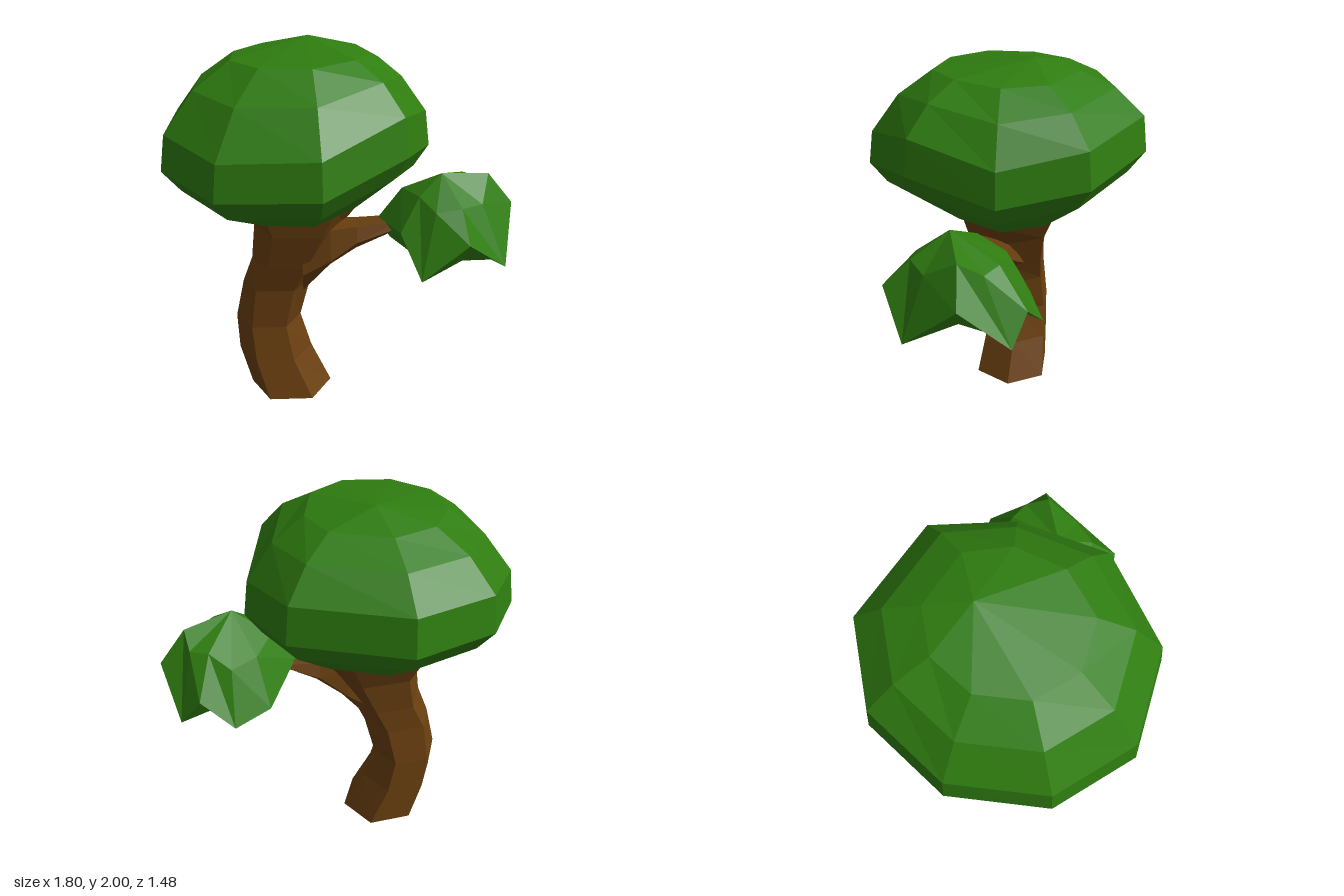
import * as THREE from 'three';

const leafMat = new THREE.MeshStandardMaterial({ color: 0x2f7d10, flatShading: true, roughness: 1, side: THREE.DoubleSide });
const barkMat = new THREE.MeshStandardMaterial({ color: 0x6b4010, flatShading: true, roughness: 1, side: THREE.DoubleSide });

// Skin a list of rings (top to bottom); a ring of one point closes an end.
function loft(name, rings, material) {
  const pos = [];
  const tri = (a, b, c) => pos.push(...a, ...b, ...c);
  for (let r = 0; r < rings.length - 1; r++) {
    const up = rings[r], low = rings[r + 1];
    const n = Math.max(up.length, low.length);
    for (let i = 0; i < n; i++) {
      const j = (i + 1) % n;
      if (up.length === 1) tri(up[0], low[j], low[i]);
      else if (low.length === 1) tri(up[i], up[j], low[0]);
      else {
        tri(up[i], up[j], low[i]);
        tri(up[j], low[j], low[i]);
      }
    }
  }
  const geo = new THREE.BufferGeometry();
  geo.setAttribute('position', new THREE.Float32BufferAttribute(pos, 3));
  geo.computeVertexNormals();
  const mesh = new THREE.Mesh(geo, material);
  mesh.name = name;
  return mesh;
}

// Large nine-sided crown: one outline, scaled per level, with an uneven rim
function makeCrown() {
  const cx = -0.19, cz = 0;
  // x, z, height offset
  const outline = [
    [0.46, -0.03, -0.01], [0.29, 0.44, 0.07], [-0.12, 0.74, -0.05],
    [-0.61, 0.65, -0.08], [-0.9, 0.28, -0.04], [-0.9, -0.22, -0.03],
    [-0.63, -0.6, 0.06], [-0.19, -0.74, 0.08], [0.34, -0.47, 0.07],
  ];
  // scale, height, share of the height offset
  const levels = [
    [0.51, 1.93, 0.1], [0.76, 1.815, 0.5], [0.965, 1.635, 1],
    [1, 1.45, 0.9], [0.88, 1.335, 0.8], [0.5, 1.16, 0.3],
  ];
  const rings = levels.map(([s, y, k]) =>
    outline.map(([x, z, dy]) => [cx + (x - cx) * s, y + dy * k, cz + (z - cz) * s]));
  return loft('crown', [[[-0.17, 2, -0.15]], ...rings, [[-0.15, 1.1, 0]]], leafMat);
}

// Small drooping crown: rim alternates between low tips and raised notches
function makeSideCrown() {
  const rim = [
    [0.9, 1.15, 0.08], [0.82, 0.9, 0.36], [0.6, 1.08, 0.5], [0.37, 0.89, 0.5],
    [0.28, 1.08, 0.32], [0.19, 1.07, 0.06], [0.38, 0.96, -0.2],
    [0.58, 0.93, -0.28], [0.74, 1.08, -0.22], [0.84, 0.93, -0.16],
  ];
  const shoulder = [
    [0.76, 1.32, 0.1], [0.7, 1.21, 0.27], [0.58, 1.22, 0.36], [0.45, 1.2, 0.36],
    [0.38, 1.25, 0.25], [0.31, 1.24, 0.08], [0.42, 1.21, -0.08],
    [0.56, 1.2, -0.15], [0.66, 1.27, -0.08], [0.75, 1.26, -0.02],
  ];
  // Hollow underside, drawn in towards the branch
  const under = rim.map(([x, y, z]) => [
    0.5 + (x - 0.5) * 0.8, y + (y < 1 ? 0.02 : -0.11), 0.12 + (z - 0.12) * 0.8]);
  const hollow = rim.map(([x, y, z]) => [
    0.5 + (x - 0.5) * 0.45, 1.02 + (y - 1) * 0.2, 0.12 + (z - 0.12) * 0.45]);
  return loft('sideCrown', [[[0.5, 1.35, 0.18]], shoulder, rim, under, hollow, [[0.48, 1.08, 0.12]]], leafMat);
}

// Six-sided bent trunk flaring into the crown
function makeTrunk() {
  // y, left x, inner left x, inner right x, right x, front z, back z
  const sections = [
    [1.32, -0.64, -0.46, 0.0, 0.27, 0.27, -0.33],
    [1.18, -0.55, -0.43, -0.04, 0.14, 0.23, -0.28],
    [1.01, -0.48, -0.37, -0.11, 0.0, 0.2, -0.22],
    [0.81, -0.5, -0.41, -0.2, -0.11, 0.15, -0.2],
    [0.66, -0.555, -0.48, -0.27, -0.18, 0.11, -0.2],
    [0.43, -0.605, -0.51, -0.32, -0.24, 0.1, -0.22],
    [0.23, -0.595, -0.49, -0.28, -0.18, 0.13, -0.225],
    [0, -0.53, -0.42, -0.18, -0.07, 0.17, -0.23],
  ];
  const rings = sections.map(([y, l, il, ir, r, f, b]) => {
    const m = (f + b) / 2;
    return [[r, y, m], [ir, y, f], [il, y, f], [l, y, m], [il, y, b], [ir, y, b]];
  });
  return loft('trunk', [[[-0.18, 1.32, 0]], ...rings, [[-0.3, 0, -0.03]]], barkMat);
}

// Five-sided branch tapering out to the small crown
function makeBranch() {
  // x, bottom y, ridge y, top y, centre z, half width
  const sections = [
    [0.46, 1.06, 1.08, 1.12, 0.12, 0.04],
    [0.3, 1.02, 1.05, 1.085, 0.11, 0.06],
    [0.07, 0.9, 0.97, 1.05, 0.08, 0.1],
    [-0.07, 0.79, 0.87, 1.03, 0.05, 0.14],
    [-0.22, 0.62, 0.78, 1.01, 0.02, 0.15],
  ];
  const rings = sections.map(([x, lo, mid, hi, z, w]) => [
    [x, mid, z + w], [x, hi, z + w * 0.7], [x, hi, z - w * 0.7], [x, mid, z - w], [x, lo, z]]);
  return loft('branch', [[[0.48, 1.1, 0.12]], ...rings], barkMat);
}

export function createModel() {
  const tree = new THREE.Group();
  tree.name = 'tree';
  tree.add(makeTrunk(), makeBranch(), makeCrown(), makeSideCrown());
  return tree;
}
